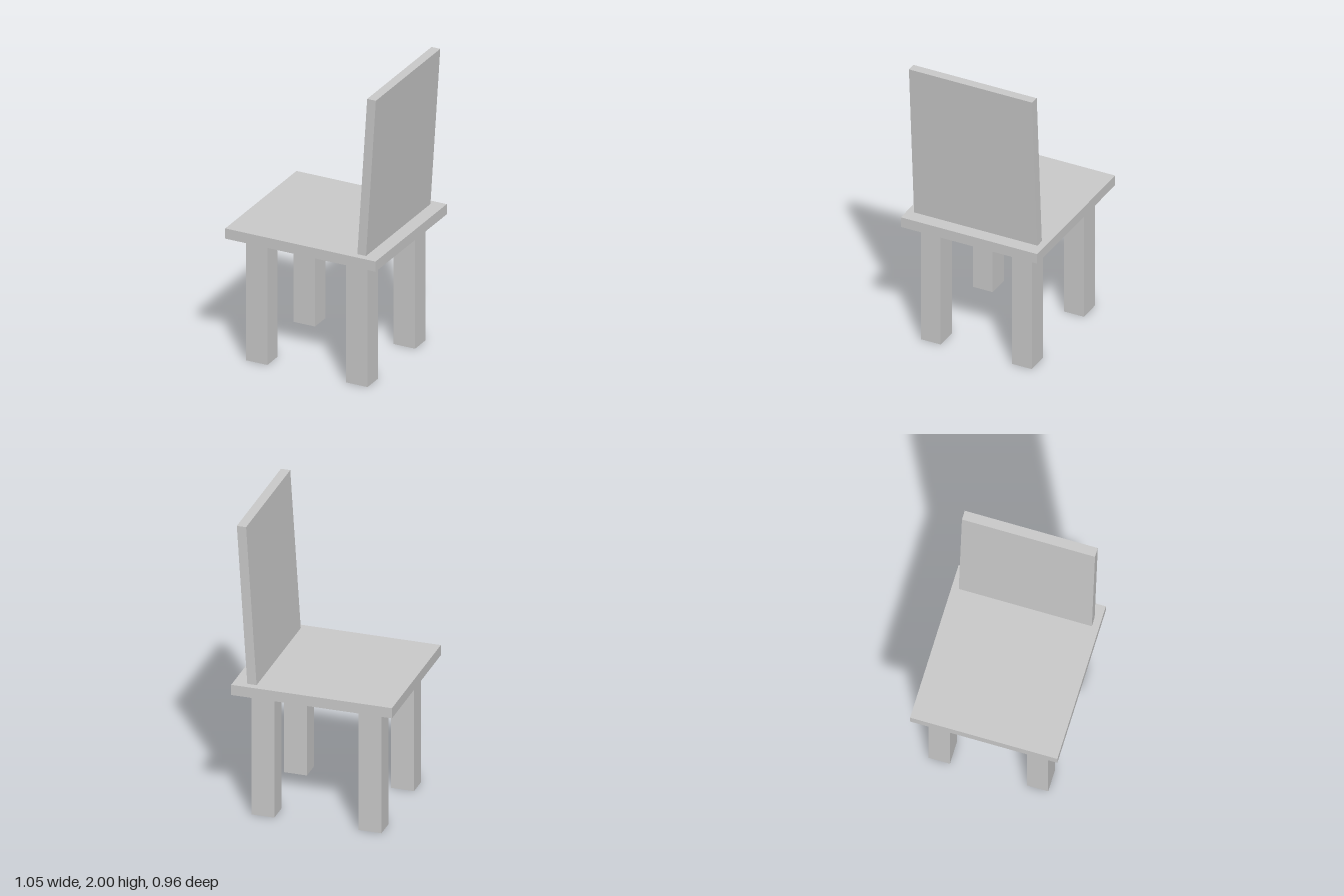
import * as THREE from 'three';

const material = new THREE.MeshStandardMaterial({ color: 0xcccccc, flatShading: true });

function block(name, width, height, depth, x, y, z) {
  const mesh = new THREE.Mesh(new THREE.BoxGeometry(width, height, depth), material);
  mesh.name = name;
  mesh.position.set(x, y, z);
  return mesh;
}

export function createModel() {
  const chair = new THREE.Group();
  chair.name = 'chair';

  // Flat seat board
  const seatBottom = 0.85, seatTop = 0.92;
  chair.add(block('seat', 1.055, seatTop - seatBottom, 0.956, 0, (seatTop + seatBottom) / 2, 0));

  // Four square legs
  for (const [end, x] of [['front', -0.353], ['back', 0.35]]) {
    for (const [side, z] of [['Left', 0.32], ['Right', -0.318]]) {
      chair.add(block(`${end}${side}Leg`, 0.15, seatBottom, 0.138, x, seatBottom / 2, z));
    }
  }

  // Backrest: slanted profile with level ends, extruded across the seat
  const width = 0.864;
  const profile = new THREE.Shape([
    new THREE.Vector2(0.376, seatTop),
    new THREE.Vector2(0.437, seatTop),
    new THREE.Vector2(0.506, 2),
    new THREE.Vector2(0.445, 2),
  ]);
  const backrestGeometry = new THREE.ExtrudeGeometry(profile, { depth: width, bevelEnabled: false });
  backrestGeometry.translate(0, 0, -width / 2);
  const backrest = new THREE.Mesh(backrestGeometry, material);
  backrest.name = 'backrest';
  chair.add(backrest);

  return chair;
}
